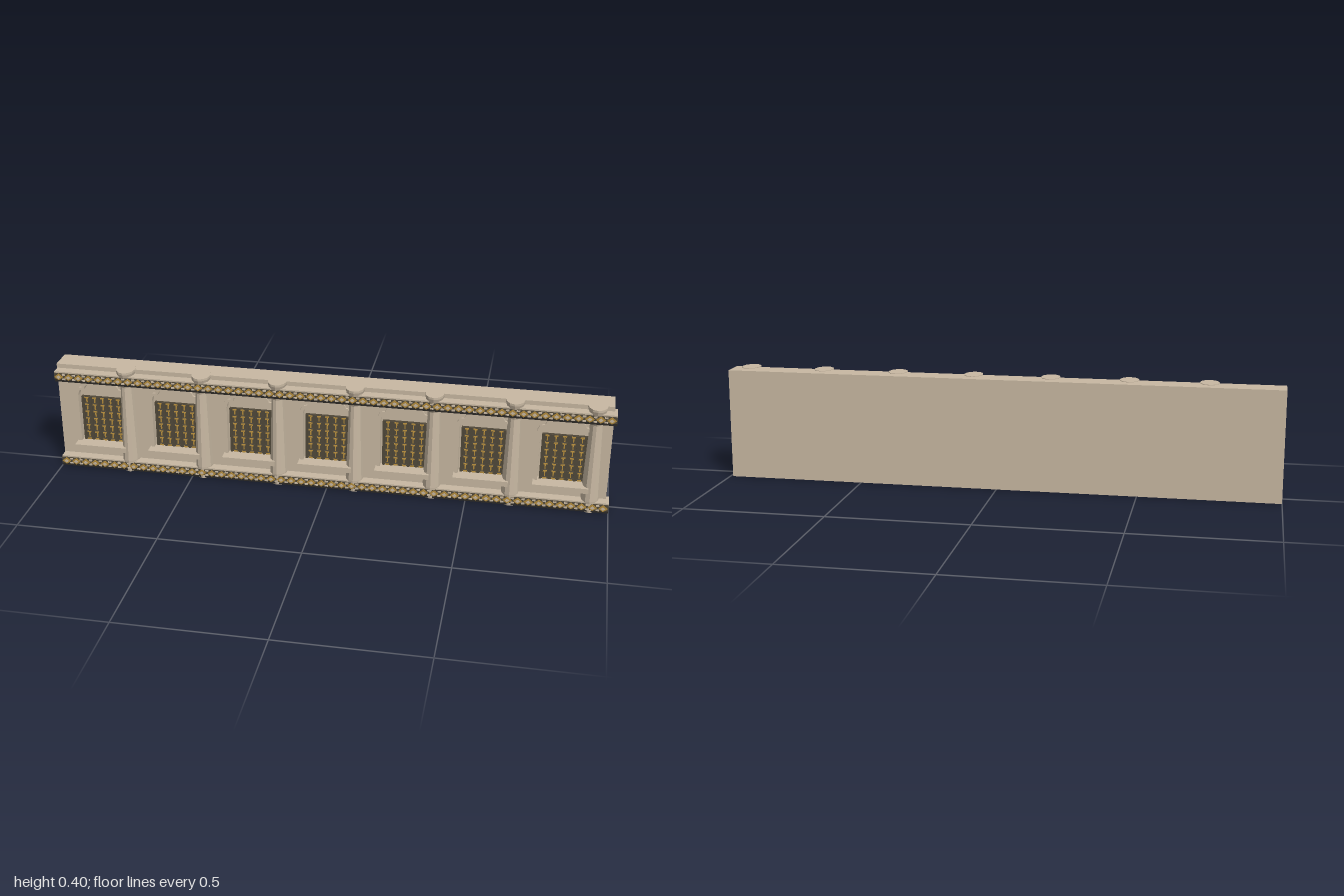
import * as THREE from 'three';
import { mergeGeometries } from 'three/addons/utils/BufferGeometryUtils.js';

const mat = (name, color, flatShading = false) => {
  const m = new THREE.MeshStandardMaterial({ color, flatShading });
  m.name = name;
  return m;
};

// box given by its minimum and maximum corners
const box = (x0, x1, y0, y1, z0, z1) =>
  new THREE.BoxGeometry(x1 - x0, y1 - y0, z1 - z0)
    .translate((x0 + x1) / 2, (y0 + y1) / 2, (z0 + z1) / 2);

// window outline with a lobed arch on top
function archOutline(path, cx, w, y0, spring, peak) {
  const h = peak - spring;
  const P = (x, y) => [cx + x * w, spring + y * h];
  path.moveTo(cx - w, y0);
  path.lineTo(cx + w, y0);
  path.lineTo(...P(1, 0));
  path.quadraticCurveTo(...P(0.98, 0.42), ...P(0.72, 0.45));
  path.quadraticCurveTo(...P(0.66, 0.82), ...P(0.34, 0.8));
  path.quadraticCurveTo(...P(0.2, 0.98), ...P(0, 1));
  path.quadraticCurveTo(...P(-0.2, 0.98), ...P(-0.34, 0.8));
  path.quadraticCurveTo(...P(-0.66, 0.82), ...P(-0.72, 0.45));
  path.quadraticCurveTo(...P(-0.98, 0.42), ...P(-1, 0));
  path.lineTo(cx - w, y0);
  return path;
}

const extrude = (shape, z0, z1) =>
  new THREE.ExtrudeGeometry(shape, { depth: z1 - z0, bevelEnabled: false, curveSegments: 4 })
    .translate(0, 0, z0);

export function createModel() {
  const model = new THREE.Group();
  model.name = 'columnedWall';
  const stone = mat('stone', 0xc8b8a2);
  const stoneFacet = mat('facetedStone', 0xc8b8a2, true);
  const bronze = mat('darkBronze', 0x51493a);
  const gold = mat('gold', 0xb58d3d);
  const black = mat('blackTrim', 0x2d2a26);
  const add = (name, geometry, material, parent = model) => {
    const m = new THREE.Mesh(geometry, material);
    m.name = name;
    parent.add(m);
    return m;
  };

  const COUNT = 7, STEP = 0.2785;
  const windowX = (i) => -0.84 + i * STEP;
  const columnX = (i) => -0.738 + i * STEP;

  // wall: solid core and a front layer pierced by the window openings
  add('wallCore', box(-1, 0.99, 0, 0.398, -0.065, 0.002), stone);
  const face = new THREE.Shape();
  face.moveTo(-1, 0);
  face.lineTo(0.99, 0);
  face.lineTo(0.99, 0.398);
  face.lineTo(-1, 0.398);
  face.closePath();
  for (let i = 0; i < COUNT; i++)
    face.holes.push(archOutline(new THREE.Path(), windowX(i), 0.085, 0.09, 0.28, 0.343));
  add('wallFace', extrude(face, 0.002, 0.02), stone);

  // windows: surround, sill, dark panel, bars and gold studs
  for (let i = 0; i < COUNT; i++) {
    const win = new THREE.Group();
    win.name = 'window';
    win.position.x = windowX(i);
    model.add(win);

    const frame = archOutline(new THREE.Shape(), 0, 0.097, 0.09, 0.285, 0.35);
    frame.holes.push(archOutline(new THREE.Path(), 0, 0.085, 0.092, 0.28, 0.343));
    add('windowSurround', extrude(frame, 0.018, 0.028), stone, win);
    add('windowSill', box(-0.1, 0.095, 0.078, 0.097, 0.002, 0.064), stone, win);
    add('windowPanel', box(-0.079, 0.079, 0.097, 0.272, 0.002, 0.008), bronze, win);

    const bars = [], studs = [];
    for (let c = 0; c <= 5; c++) {
      const x = -0.075 + c * 0.03;
      bars.push(box(x - 0.004, x + 0.004, 0.097, 0.272, 0.008, 0.015));
    }
    for (let r = 0; r <= 6; r++) {
      const y = 0.101 + r * 0.0278;
      bars.push(box(-0.079, 0.079, y - 0.003, y + 0.003, 0.008, 0.013));
      for (let c = 0; c < 5; c++) {
        const x = -0.06 + c * 0.03;
        studs.push(box(x - 0.007, x + 0.007, y - 0.002, y + 0.002, 0.012, 0.017));
        if (r < 6) studs.push(box(x - 0.002, x + 0.002, y + 0.007, y + 0.021, 0.007, 0.013));
      }
    }
    add('windowBars', mergeGeometries(bars), bronze, win);
    add('windowStuds', mergeGeometries(studs), gold, win);
  }

  // tapering faceted columns, half sunk into the wall
  const profile = [[0, 0], [0.038, 0], [0.042, 0.045], [0.03, 0.335], [0.034, 0.345],
    [0.039, 0.375], [0.045, 0.392], [0.045, 0.4], [0, 0.4]]
    .map(([r, y]) => new THREE.Vector2(r, y));
  const columnGeo = new THREE.LatheGeometry(profile, 12);
  for (let i = 0; i < COUNT; i++) {
    const col = add('column', columnGeo, stoneFacet);
    col.position.set(columnX(i), 0, 0.02);
    col.scale.x = 0.76;
  }

  // lower and upper rails with an ornamental band of diamonds
  for (const [name, y0, y1] of [['lowerRail', 0.011, 0.041], ['upperRail', 0.352, 0.382]]) {
    const rail = new THREE.Group();
    rail.name = name;
    model.add(rail);
    const mid = (y0 + y1) / 2 - 0.002;
    add('railBeam', box(-0.998, 1, y0, y1, 0, 0.054), stone, rail);
    add('railBacking', box(-0.998, 1, mid - 0.011, mid + 0.012, 0.054, 0.059), bronze, rail);
    add('railUnderTrim', box(-0.998, 1, y0 - 0.008, y0, 0.048, 0.056), black, rail);

    const diamonds = [], centres = [], beads = [];
    const n = 54, pitch = 1.998 / n;
    for (let k = 0; k < n; k++) {
      const x = -0.998 + (k + 0.5) * pitch;
      const lozenge = (s, z0, z1) => new THREE.CylinderGeometry(s, s, z1 - z0, 4)
        .rotateX(Math.PI / 2).scale(1.3, 1, 1).translate(x, mid, (z0 + z1) / 2);
      diamonds.push(lozenge(0.0125, 0.058, 0.063));
      centres.push(lozenge(0.0065, 0.058, 0.065));
      if (k < n - 1) for (const s of [-1, 1]) {
        const bx = x + pitch / 2, by = mid + s * 0.0085;
        beads.push(box(bx - 0.006, bx + 0.006, by - 0.0028, by + 0.0028, 0.058, 0.062));
      }
    }
    add('railDiamonds', mergeGeometries(diamonds), gold, rail);
    add('railDiamondCentres', mergeGeometries(centres), stone, rail);
    add('railBeads', mergeGeometries(beads), stone, rail);
  }

  return model;
}
